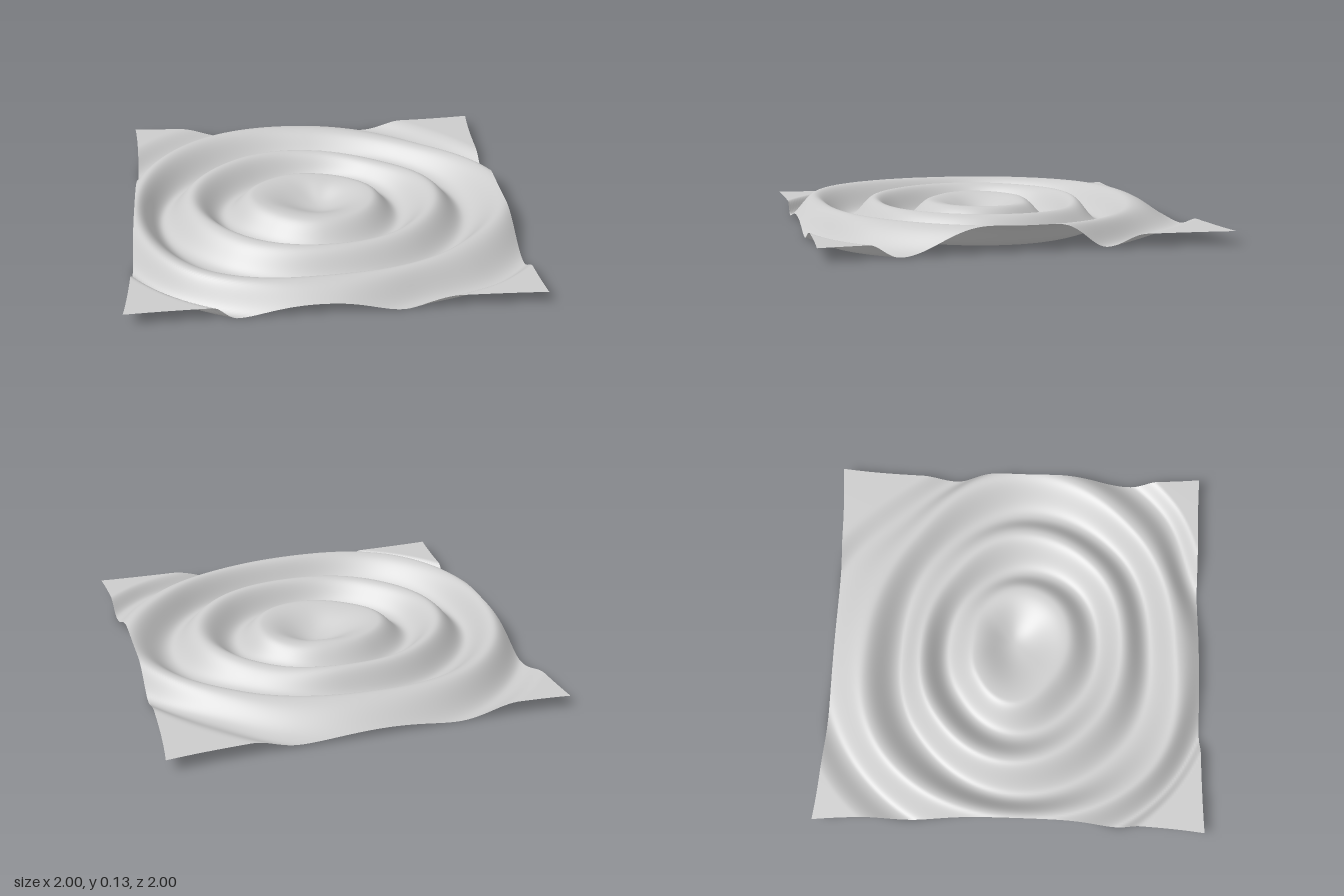
import * as THREE from 'three';

// Radius of each ring at evenly spaced directions, from +x turning towards +z
const RINGS = [
  [0.28, 0.29, 0.28, 0.29, 0.35, 0.27, 0.21, 0.23], // first crest
  [0.42, 0.45, 0.44, 0.46, 0.51, 0.42, 0.36, 0.37], // trough
  [0.61, 0.60, 0.57, 0.62, 0.67, 0.58, 0.49, 0.50], // second crest
  [0.77, 0.77, 0.72, 0.80, 0.83, 0.72, 0.61, 0.66], // trough
  [0.99, 0.91, 0.86, 1.00, 0.96, 0.92, 0.79, 0.81], // third crest
  [1.13, 1.16, 1.13, 1.03, 1.08, 1.09, 1.12, 1.12,  // outer trough
    1.11, 1.10, 1.08, 1.06, 1.05, 1.03, 0.98, 1.03],
  [1.28, 1.28, 1.22, 1.12, 1.16, 1.14, 1.17, 1.20,  // calm water
    1.22, 1.24, 1.24, 1.20, 1.18, 1.16, 1.12, 1.14],
];
const CALM = 0.066;
// Water height at the centre and at each of those rings
const HEIGHTS = [0.03, 0.122, 0.012, 0.13, 0.005, 0.132, 0.003, CALM];

// Smooth closed interpolation of one ring's radius around the circle
function ringRadius(ring, angle) {
  const n = ring.length;
  const a = (angle / (2 * Math.PI) + 1) * n;
  const i = Math.floor(a), t = a - i;
  const [p0, p1, p2, p3] = [-1, 0, 1, 2].map((k) => ring[(i + k + n) % n]);
  return p1 + 0.5 * t * (p2 - p0 + t * (2 * p0 - 5 * p1 + 4 * p2 - p3
    + t * (3 * (p1 - p2) + p3 - p0)));
}

function waterHeight(x, z) {
  const r = Math.hypot(x, z), angle = Math.atan2(z, x);
  // The ripples are weaker towards the back on the +x side
  const strength = 1 - 0.28 * Math.max(0, Math.cos(angle + 0.85)) ** 6 * Math.min(1, r / 0.4);
  let inner = 0;
  for (let k = 0; k < RINGS.length; k++) {
    const outer = ringRadius(RINGS[k], angle);
    if (r < outer) {
      const s = (1 - Math.cos(Math.PI * (r - inner) / (outer - inner))) / 2;
      return CALM + strength * (THREE.MathUtils.lerp(HEIGHTS[k], HEIGHTS[k + 1], s) - CALM);
    }
    inner = outer;
  }
  return CALM;
}

export function createModel() {
  const group = new THREE.Group();
  group.name = 'rippledWater';

  // Square sheet lifted into ripples, its sides drawn in slightly
  const geometry = new THREE.PlaneGeometry(2, 2, 180, 180).rotateX(-Math.PI / 2);
  const pos = geometry.attributes.position;
  for (let i = 0; i < pos.count; i++) {
    const x = pos.getX(i), z = pos.getZ(i);
    const pullX = 0.03 * (1 - z ** 4);
    const pullZ = (z < 0 ? 0.03 : 0.015) * (1 - x ** 4);
    const px = x * (1 - pullX * x * x);
    const pz = z * (1 - pullZ * z * z);
    pos.setXYZ(i, px, waterHeight(px, pz), pz);
  }
  geometry.computeVertexNormals();

  const sheet = new THREE.Mesh(geometry, new THREE.MeshStandardMaterial({
    color: 0xcccccc, side: THREE.DoubleSide,
  }));
  sheet.name = 'waterSurface';
  group.add(sheet);
  return group;
}
